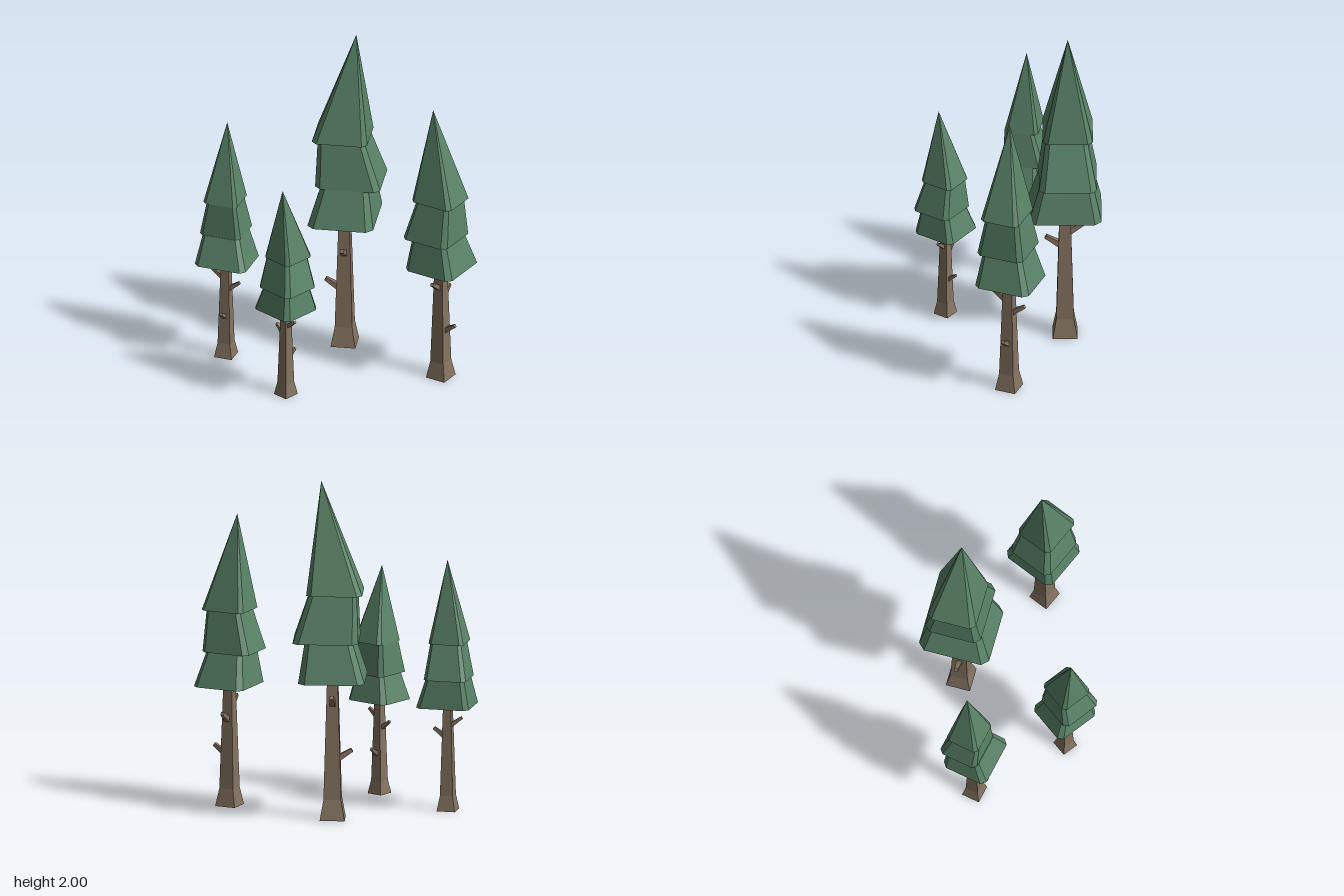
import * as THREE from 'three';

const needles = new THREE.MeshStandardMaterial({ color: 0x5a8468, flatShading: true });
needles.name = 'needle green';
const bark = new THREE.MeshStandardMaterial({ color: 0x857360, flatShading: true });
bark.name = 'bark brown';

// Proportions shared by all trees, as fractions of the tree's height
const TIER_HEIGHTS = [0.416, 0.532, 0.672, 1];
const BRANCH_HEIGHTS = [0.18, 0.3, 0.345];

// Square ring with cut corners, turned by angle a
function ring(x, z, y, hx, hz, cut, a) {
  const c = cut * Math.min(hx, hz);
  const s = Math.sin(a), k = Math.cos(a);
  const pts = [];
  for (const [sx, sz] of [[1, -1], [1, 1], [-1, 1], [-1, -1]]) {
    const corner = [[sx * (hx - c), sz * hz], [sx * hx, sz * (hz - c)]];
    if (sx === sz) corner.reverse();
    pts.push(...(cut > 0 ? corner : [corner[0]]));
  }
  return pts.map(([u, v]) => [x + u * k + v * s, y, z - u * s + v * k]);
}

// Closed, flat-faced skin through a stack of rings, bottom to top
function loft(rings, pointed) {
  const pos = [];
  const tri = (...p) => p.forEach(q => pos.push(...q));
  const n = rings[0].length;
  for (let r = 0; r < rings.length - 1; r++) {
    const b = rings[r], t = rings[r + 1];
    for (let i = 0; i < n; i++) {
      const j = (i + 1) % n;
      tri(b[i], t[i], b[j]);
      if (!pointed) tri(b[j], t[i], t[j]);
    }
  }
  const lo = rings[0], hi = rings[rings.length - 1];
  for (let i = 1; i < n - 1; i++) {
    tri(lo[0], lo[i], lo[i + 1]);
    if (!pointed) tri(hi[0], hi[i + 1], hi[i]);
  }
  const g = new THREE.BufferGeometry();
  g.setAttribute('position', new THREE.Float32BufferAttribute(pos, 3));
  g.computeVertexNormals();
  return g;
}

function part(name, geometry, material) {
  const m = new THREE.Mesh(geometry, material);
  m.name = name;
  return m;
}

// Short, rising, tapered branch stub; heading counts quarter turns from +x to +z
function branch(heading, y, height) {
  const dx = Math.cos(heading * Math.PI / 2), dz = Math.sin(heading * Math.PI / 2);
  const reach = height * 0.056, size = height * 0.01;
  const from = new THREE.Vector3(dx * 0.02, y - 0.01, dz * 0.02);
  const to = new THREE.Vector3(dx * reach, y + height * 0.024, dz * reach);
  const axis = to.clone().sub(from);
  const g = new THREE.CylinderGeometry(size * 0.8, size * 1.3, axis.length(), 4);
  g.rotateY(Math.PI / 4);
  const m = part('branch', g, bark);
  const up = axis.normalize();
  const side = new THREE.Vector3(dz, 0, -dx);
  m.quaternion.setFromRotationMatrix(
    new THREE.Matrix4().makeBasis(side, up, side.clone().cross(up)));
  m.position.copy(from).add(to).multiplyScalar(0.5);
  return m;
}

// Trunk with a flared foot, and three branch stubs
function makeWood(height, turn, headings) {
  const wood = new THREE.Group();
  wood.name = 'trunkAndBranches';
  wood.rotation.y = turn;
  const profile = [[0.036, 0], [0.0255, 0.06], [0.0153, 0.425]];
  const rings = profile.map(([h, y]) => ring(0, 0, y * height, h * height, h * height, 0, 0));
  wood.add(part('trunk', loft(rings, false), bark));
  headings.forEach((q, i) => wood.add(branch(q, BRANCH_HEIGHTS[i] * height, height)));
  return wood;
}

// Foliage tier i; its top leans halfway from the trunk to the next tier, the last ends in the tip
function makeTier({ height, turn, tiers, tip }, i) {
  const [x, z, hx, hz] = tiers[i];
  const pointed = i === tiers.length - 1;
  const y0 = TIER_HEIGHTS[i] * height, y1 = TIER_HEIGHTS[i + 1] * height;
  const next = tiers[i + 1];
  const upper = pointed
    ? ring(tip[0], tip[1], y1, 0, 0, 0.2, turn)
    : ring(next[0] / 2, next[1] / 2, y1 + 0.004, hx * 0.72, hz * 0.72, 0.2, turn);
  const lower = ring(x, z, y0, hx, hz, 0.2, turn);
  return part('foliageTier' + (i + 1), loft([lower, upper], pointed), needles);
}

// Tiers are [x, z, half width, half depth] and tips [x, z], measured from the trunk's foot
const trees = [
  {
    name: 'tallTree', at: [0.005, -0.33], height: 2, turn: 0, headings: [2, 1, 3],
    tiers: [[0, 0, 0.192, 0.21], [0.035, -0.015, 0.19, 0.167], [-0.015, -0.015, 0.162, 0.145]],
    tip: [0.065, -0.015],
  },
  {
    name: 'rightTree', at: [0.617, 0], height: 1.725, turn: -0.4, headings: [0, 3, 1],
    tiers: [[0.004, -0.008, 0.157, 0.167], [-0.027, 0.005, 0.148, 0.142], [0, 0.012, 0.133, 0.117]],
    tip: [-0.045, -0.005],
  },
  {
    name: 'leftTree', at: [-0.648, -0.07], height: 1.49, turn: -0.2, headings: [1, 0, 2],
    tiers: [[0.005, 0.003, 0.156, 0.138], [-0.007, -0.045, 0.125, 0.118], [-0.01, -0.03, 0.104, 0.1]],
    tip: [0, -0.045],
  },
  {
    name: 'frontTree', at: [-0.232, 0.358], height: 1.34, turn: -0.63, headings: [3, 2, 0],
    tiers: [[0, -0.003, 0.14, 0.133], [0.012, 0.022, 0.125, 0.122], [0.014, 0.004, 0.1, 0.104]],
    tip: [-0.013, 0.039],
  },
];

export function createModel() {
  const model = new THREE.Group();
  model.name = 'pineTrees';
  for (const spec of trees) {
    const tree = new THREE.Group();
    tree.name = spec.name;
    tree.position.set(spec.at[0], 0, spec.at[1]);
    tree.add(makeWood(spec.height, spec.turn, spec.headings));
    spec.tiers.forEach((_, i) => tree.add(makeTier(spec, i)));
    model.add(tree);
  }
  return model;
}
